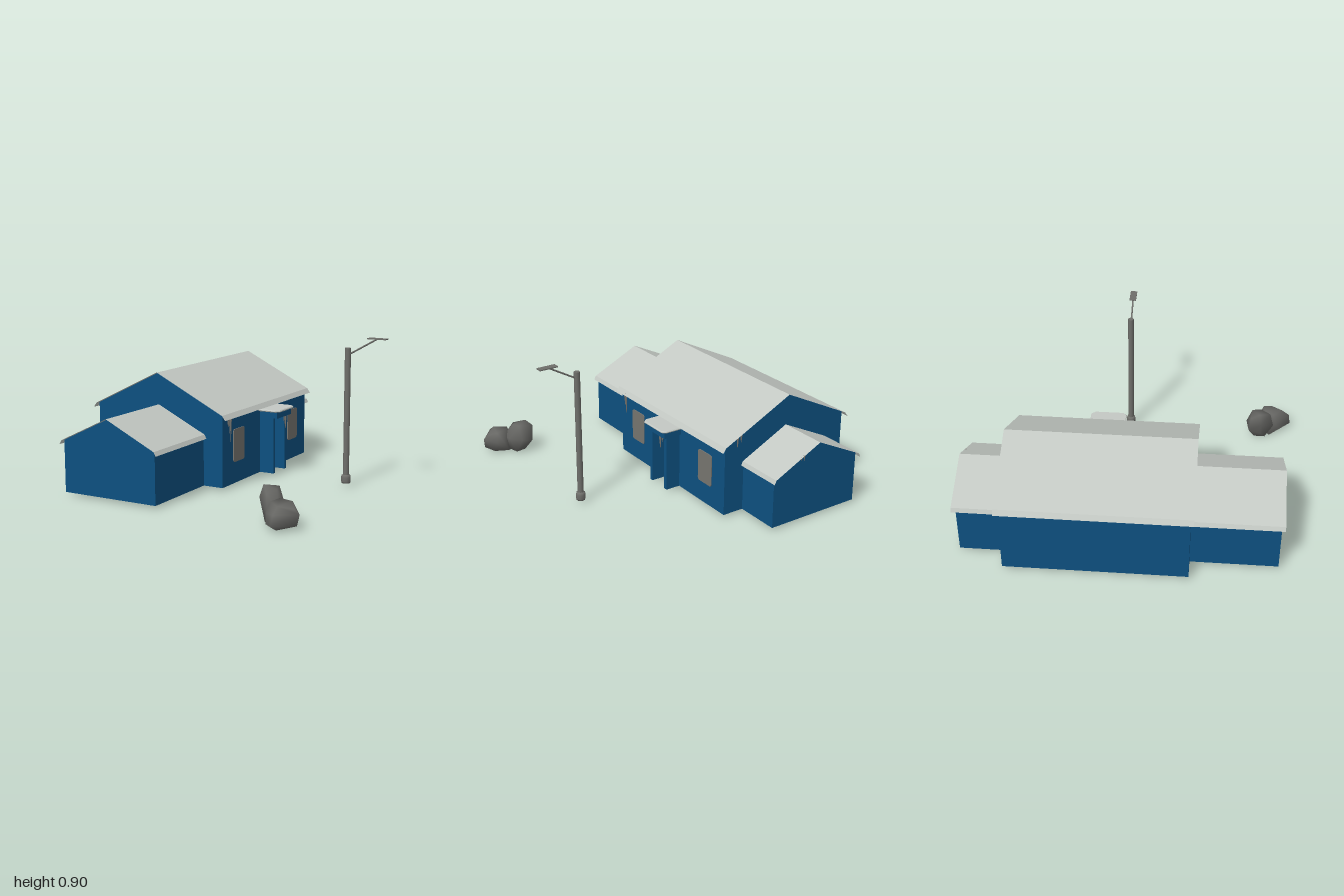
import * as THREE from 'three';
import { mergeVertices } from 'three/addons/utils/BufferGeometryUtils.js';
import { ConvexGeometry } from 'three/addons/geometries/ConvexGeometry.js';

const mat = (name, color, side = THREE.FrontSide) => {
  const m = new THREE.MeshStandardMaterial({ color, side });
  m.name = name;
  return m;
};
const V = (x, y, z) => new THREE.Vector3(x, y, z);

export function createModel() {
  const blue = mat('blue wall', 0x0d5080, THREE.DoubleSide);
  const snow = mat('pale roof', 0xc3c8c3, THREE.DoubleSide);
  const pane = mat('warm grey', 0x777570, THREE.DoubleSide);
  const steel = mat('post grey', 0x6e6e6a);
  const stone = mat('stone grey', 0x676764);

  const model = new THREE.Group();
  model.name = 'station';
  const add = (name, geo, material, parent = model) => {
    const mesh = new THREE.Mesh(geo, material);
    mesh.name = name;
    parent.add(mesh);
    return mesh;
  };
  const group = (name) => {
    const g = new THREE.Group();
    g.name = name;
    model.add(g);
    return g;
  };
  const box = (name, x0, x1, y0, y1, z0, z1, material, parent) =>
    add(name, new THREE.BoxGeometry(x1 - x0, y1 - y0, z1 - z0), material, parent)
      .position.set((x0 + x1) / 2, (y0 + y1) / 2, (z0 + z1) / 2);

  // Sheet that sweeps an x-y polyline from z0 to z1, with flat faces
  const sheet = (pts, z0, z1) => {
    const p = [];
    for (let i = 0; i < pts.length - 1; i++) {
      const [a, b] = pts[i], [c, d] = pts[i + 1];
      p.push(a, b, z0, a, b, z1, c, d, z1, a, b, z0, c, d, z1, c, d, z0);
    }
    const g = new THREE.BufferGeometry();
    g.setAttribute('position', new THREE.Float32BufferAttribute(p, 3));
    g.computeVertexNormals();
    return g;
  };

  // Gabled block, open underneath, with a thin overhanging roof
  const MID = -0.405, BASE = 0.02;
  const hall = (name, { half, eave, ridge, z0, z1, r0, r1, over, lip, gables }) => {
    const g = group(name);
    const l = MID - half, r = MID + half;
    add('leftWall', sheet([[r, eave], [r, BASE]], z0, z1), blue, g);
    add('rightWall', sheet([[l, BASE], [l, eave]], z0, z1), blue, g);
    const shape = new THREE.Shape([[l, BASE], [r, BASE], [r, eave], [MID, ridge], [l, eave]]
      .map(([x, y]) => new THREE.Vector2(x, y)));
    for (const z of gables) {
      const geo = new THREE.ShapeGeometry(shape);
      if (z < 0) geo.rotateY(Math.PI).translate(2 * MID, 0, 0);
      add('gableWall', geo, blue, g).position.z = z;
    }
    const up = 0.003;
    const edge = half + over * 0.3;
    const bend = ridge + up - (ridge - eave) / half * edge;
    add('roof', sheet([
      [MID - half - over, lip], [MID - edge, bend], [MID, ridge + up],
      [MID + edge, bend], [MID + half + over, lip],
    ].reverse().map(([x, y]) => [x, y]).reverse(), r0, r1), snow, g);
  };
  hall('mainHall', { half: 0.441, eave: 0.458, ridge: 0.675, z0: -0.7, z1: 0.38,
    r0: -0.722, r1: 0.4, over: 0.03, lip: 0.428, gables: [-0.7, 0.38] });
  hall('frontWing', { half: 0.312, eave: 0.33, ridge: 0.48, z0: 0.38, z1: 0.895,
    r0: 0.38, r1: 0.915, over: 0.02, lip: 0.306, gables: [0.895] });
  hall('backWing', { half: 0.306, eave: 0.33, ridge: 0.48, z0: -0.975, z1: -0.7,
    r0: -1, r1: -0.7, over: 0.016, lip: 0.306, gables: [-0.975] });

  // Round-cornered windows on the left wall
  const roundRect = (w, h, r) => {
    const s = new THREE.Shape(), x = w / 2, y = h / 2;
    s.moveTo(-x + r, -y);
    s.lineTo(x - r, -y).quadraticCurveTo(x, -y, x, -y + r);
    s.lineTo(x, y - r).quadraticCurveTo(x, y, x - r, y);
    s.lineTo(-x + r, y).quadraticCurveTo(-x, y, -x, y - r);
    s.lineTo(-x, -y + r).quadraticCurveTo(-x, -y, -x + r, -y);
    return s;
  };
  for (const z of [0.19, -0.515]) {
    const win = add('window', new THREE.ExtrudeGeometry(roundRect(0.13, 0.2, 0.018),
      { depth: 0.005, bevelEnabled: false }), pane);
    win.rotation.y = Math.PI / 2;
    win.position.set(0.036, 0.25, z);
  }

  // Porch with side walls, lintel, door and canopy
  const porch = group('porch');
  box('porchWall', 0.036, 0.13, BASE, 0.37, -0.102, -0.08, blue, porch);
  box('porchWall', 0.036, 0.13, BASE, 0.37, -0.254, -0.23, blue, porch);
  box('lintel', 0.036, 0.155, 0.368, 0.41, -0.268, -0.078, blue, porch);
  box('door', 0.036, 0.042, BASE, 0.368, -0.23, -0.102, pane, porch);
  box('doorPlate', 0.042, 0.047, 0.03, 0.05, -0.2, -0.13, pane, porch);
  const canopy = new THREE.Shape([[0.036, 0.065], [0.15, 0.065], [0.17, 0.085],
    [0.17, 0.26], [0.15, 0.28], [0.036, 0.28]].map(([x, y]) => new THREE.Vector2(x, y)));
  const canopyGeo = new THREE.ExtrudeGeometry(canopy,
    { depth: 0.004, bevelThickness: 0.005, bevelSize: 0.005, bevelSegments: 1 });
  canopyGeo.rotateX(-Math.PI / 2);
  add('canopy', canopyGeo, snow, porch).position.y = 0.413;

  // Icicles: x, top, z, length
  const icicles = group('icicles');
  for (const [x, top, z, len] of [
    [0.05, 0.44, 0.325, 0.1], [0.052, 0.44, 0.31, 0.165], [0.048, 0.44, 0.335, 0.06],
    [0.142, 0.37, -0.2, 0.06], [0.145, 0.37, -0.212, 0.1], [0.138, 0.37, -0.225, 0.045],
    [-0.04, 0.495, -0.715, 0.07], [-0.065, 0.507, -0.715, 0.05],
    [-0.28, 0.42, -0.99, 0.025], [-0.3, 0.43, -0.99, 0.04],
  ]) {
    const cone = new THREE.ConeGeometry(0.007, len, 6).rotateX(Math.PI);
    add('icicle', cone, pane, icicles).position.set(x, top - len / 2, z);
  }

  // Street lamp
  const lamp = group('streetLamp');
  const LX = 0.623, LZ = -0.075;
  add('post', new THREE.CylinderGeometry(0.018, 0.018, 0.8, 12), steel, lamp)
    .position.set(LX, 0.437, LZ);
  add('postBase', new THREE.LatheGeometry([[0, 0.025], [0.026, 0.025], [0.029, 0.035],
    [0.029, 0.06], [0.026, 0.073], [0.016, 0.077]].map(([x, y]) => new THREE.Vector2(x, y)), 10),
  steel, lamp).position.set(LX, 0, LZ);
  add('arm', new THREE.TubeGeometry(
    new THREE.LineCurve3(V(LX, 0.795, LZ), V(0.81, 0.902, LZ)), 1, 0.005, 8), steel, lamp);
  box('lampHead', 0.752, 0.866, 0.898, 0.904, LZ - 0.021, LZ + 0.021, steel, lamp);

  // Smooth-shaded boulders
  const boulder = (pts) => {
    let g = new ConvexGeometry(pts.map((p) => V(...p)));
    g.deleteAttribute('normal');
    g = mergeVertices(g, 1e-4);
    g.computeVertexNormals();
    add('boulder', g, stone);
  };
  boulder([
    [0.51, 0.18, 0.73], [0.53, 0.2, 0.79], [0.6, 0.19, 0.74], [0.615, 0.185, 0.8],
    [0.585, 0.17, 0.86], [0.51, 0.13, 0.8], [0.52, 0.08, 0.72], [0.6, 0.1, 0.705],
    [0.655, 0.1, 0.78], [0.66, 0.09, 0.86], [0.6, 0.07, 0.885], [0.53, 0.05, 0.8],
    [0.555, 0.01, 0.76], [0.62, 0.01, 0.75], [0.64, 0.01, 0.84], [0.56, 0.005, 0.83],
  ]);
  boulder([
    [0.62, 0.14, 0.88], [0.65, 0.15, 0.83], [0.72, 0.14, 0.82], [0.76, 0.115, 0.88],
    [0.69, 0.135, 0.94], [0.6, 0.08, 0.9], [0.69, 0.08, 0.785], [0.735, 0.08, 0.8],
    [0.79, 0.09, 0.88], [0.78, 0.03, 0.89], [0.69, 0.1, 0.99], [0.68, 0.04, 1.0],
    [0.62, 0.03, 0.93], [0.58, 0.005, 0.86], [0.65, 0.01, 0.8], [0.74, 0.015, 0.83],
    [0.69, 0.01, 0.95],
  ]);

  return model;
}
